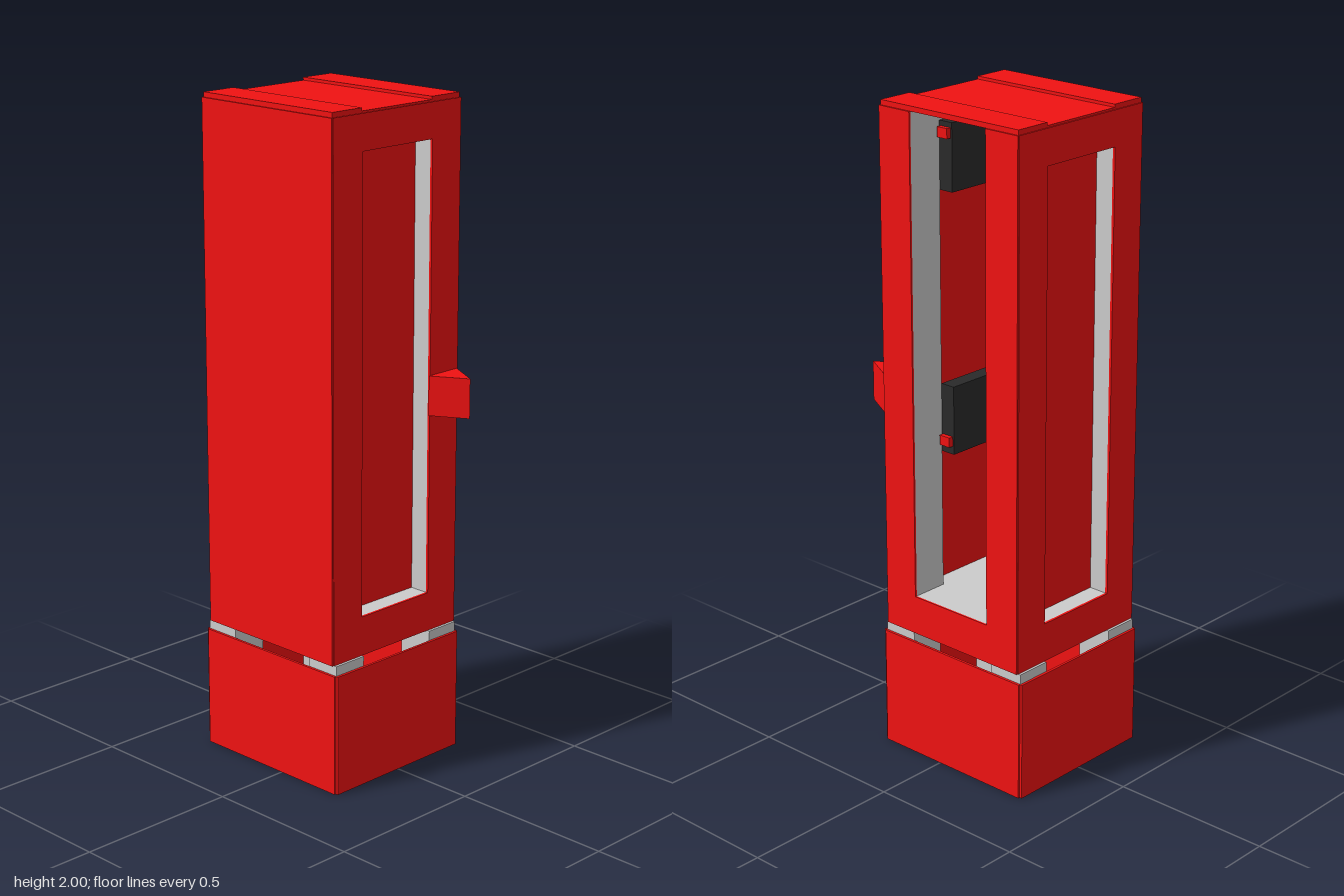
import * as THREE from 'three';

const red = new THREE.MeshStandardMaterial({ color: 0xf01212 });
const grey = new THREE.MeshStandardMaterial({ color: 0xcccccc });
const black = new THREE.MeshStandardMaterial({ color: 0x2a2a2a });

// Box given by its extents along each axis
function box(parent, name, material, [x0, x1], [y0, y1], [z0, z1]) {
  const mesh = new THREE.Mesh(new THREE.BoxGeometry(x1 - x0, y1 - y0, z1 - z0), material);
  mesh.position.set((x0 + x1) / 2, (y0 + y1) / 2, (z0 + z1) / 2);
  mesh.name = name;
  parent.add(mesh);
  return mesh;
}

// Flat panel in the xy plane from an outline and an optional hole
function panel(parent, name, outline, hole, depth) {
  const toPoints = (list) => list.map(([x, y]) => new THREE.Vector2(x, y));
  const shape = new THREE.Shape(toPoints(outline));
  if (hole) shape.holes.push(new THREE.Path(toPoints(hole)));
  const mesh = new THREE.Mesh(new THREE.ExtrudeGeometry(shape, { depth, bevelEnabled: false }), red);
  mesh.name = name;
  parent.add(mesh);
  return mesh;
}

const rect = (x0, x1, y0, y1) => [[x0, y0], [x1, y0], [x1, y1], [x0, y1]];

export function createModel() {
  const model = new THREE.Group();
  model.name = 'cabinet';
  const body = new THREE.Group();
  body.name = 'body';
  body.position.z = -0.047; // the handle shifts the body backwards
  model.add(body);

  for (const s of [-1, 1]) {
    const span = (a, b) => (s > 0 ? [a, b] : [-b, -a]);

    // Corner posts of the plinth and of the upper cabinet
    for (const t of [-1, 1]) {
      const deep = (a, b) => (t > 0 ? [a, b] : [-b, -a]);
      box(body, 'plinthPost', grey, span(0.14, 0.253), [0, 0.4], deep(0.157, 0.27));
      box(body, 'cabinetPost', grey, span(0.14, 0.254), [0.4, 1.985], deep(0.143, 0.254));
    }

    // Plinth skirt
    box(body, 'plinthPanel', red, [-0.255, 0.255], [0, 0.37], span(0.27, 0.278));
    box(body, 'plinthSidePanel', red, span(0.253, 0.261), [0, 0.37], [-0.27, 0.27]);

    // Front and back: framed window, beams and recessed sheet
    const face = panel(body, s > 0 ? 'frontPanel' : 'backPanel',
      rect(-0.255, 0.255, 0.4, 1.985), rect(-0.14, 0.14, 0.52, 1.88), 0.008);
    face.position.z = s > 0 ? 0.254 : -0.262;
    box(body, 'lowerBeam', grey, [-0.14, 0.14], [0.405, 0.52], span(0.143, 0.254));
    box(body, 'upperBeam', grey, [-0.14, 0.14], [1.88, 1.985], span(0.143, 0.254));
    box(body, 'recessedSheet', red, [-0.14, 0.14], [0.52, 1.88], span(0.188, 0.196));

    // Raised strips along both sides of the roof
    box(body, 'roofStrip', red, span(0.14, 0.255), [1.985, 2], [-0.258, 0.258]);
  }
  box(body, 'roofPanel', red, [-0.14, 0.14], [1.983, 1.991], [-0.258, 0.258]);

  // Closed left side, open right side
  box(body, 'leftPanel', red, [0.254, 0.26], [0.4, 1.985], [-0.26, 0.26]).position.x = -0.257;
  const opening = panel(body, 'rightPanel', [
    [-0.26, 0.4], [0.26, 0.4], [0.26, 1.985], [0.143, 1.985],
    [0.143, 0.52], [-0.143, 0.52], [-0.143, 1.985], [-0.26, 1.985],
  ], null, 0.006);
  opening.rotation.y = Math.PI / 2;
  opening.position.x = 0.254;

  // Cabinet floor and side beams
  box(body, 'floor', grey, [-0.14, 0.14], [0.5, 0.52], [-0.143, 0.143]);
  box(body, 'rightBeam', grey, [0.14, 0.254], [0.405, 0.52], [-0.143, 0.143]);
  box(body, 'leftBeam', grey, [-0.254, -0.14], [0.52, 0.635], [-0.143, 0.143]);

  // Dark units behind the front sheet, mirrored in height, each with a red knob
  for (const [y0, y1, knobY] of [[1.74, 1.94, 1.91], [0.95, 1.16, 0.99]]) {
    box(body, 'innerUnit', black, [-0.14, 0.14], [y0, y1], [0.095, 0.143]);
    box(body, 'unitKnob', red, [0.14, 0.155], [knobY - 0.015, knobY + 0.015], [0.1, 0.138]);
  }

  // Wedge handle on the front
  const handle = panel(model, 'handle', [[0.135, -0.215], [0.195, -0.322], [0.255, -0.215]], null, 0.12);
  handle.rotation.x = -Math.PI / 2;
  handle.position.y = 1.07;

  return model;
}
